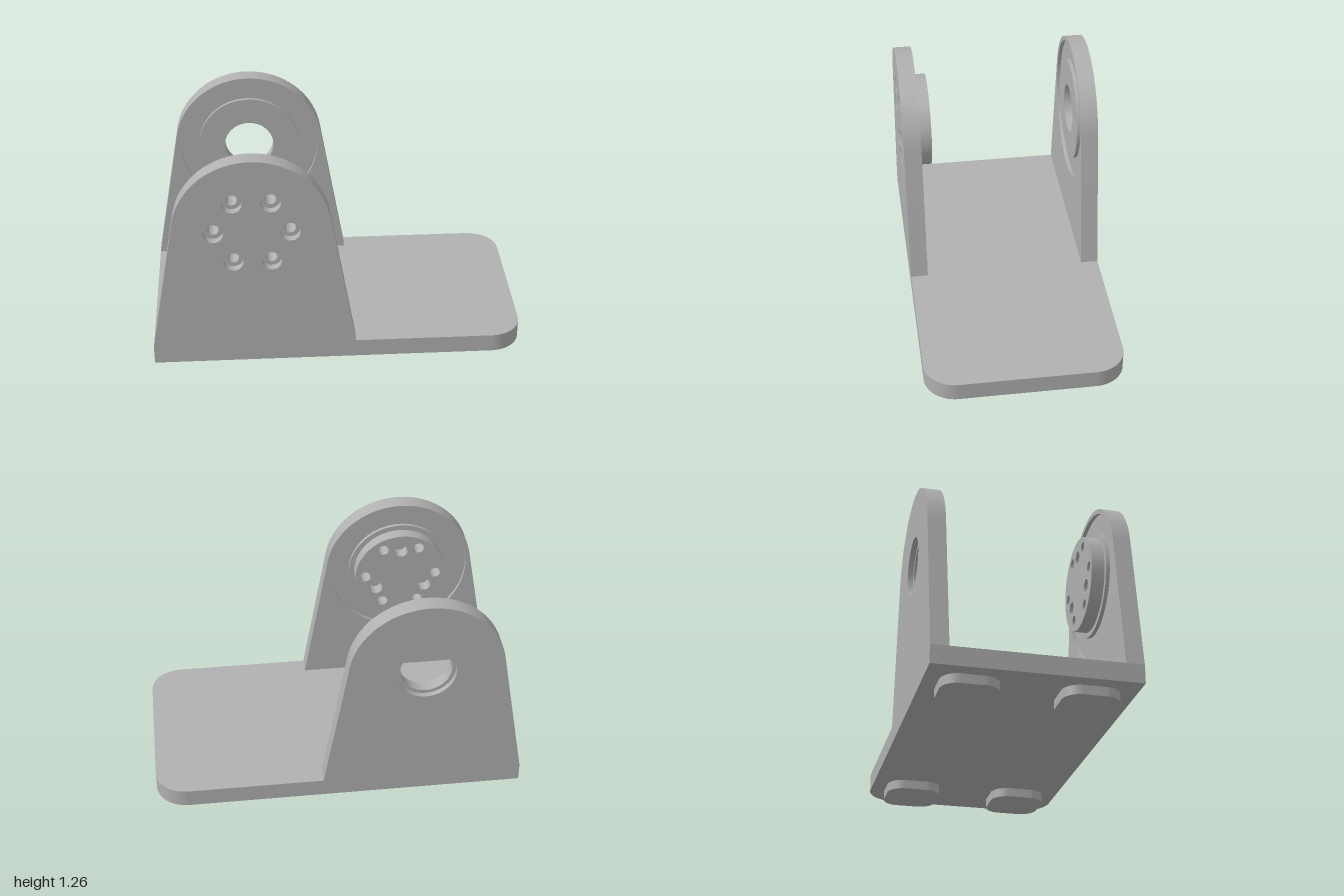
import * as THREE from 'three';
import { toCreasedNormals } from 'three/addons/utils/BufferGeometryUtils.js';

const CX = -0.455, CY = 0.85; // shared axis of both uprights
const DEG = Math.PI / 180;

export function createModel() {
  const model = new THREE.Group();
  model.name = 'bracket';
  const grey = new THREE.MeshStandardMaterial({ color: 0xb0b0b0 });
  grey.name = 'machined grey';

  // Slab between z0 and z1 from an outline and circular holes [x, y, r]
  function slab(name, parent, shape, z0, z1, holes = []) {
    for (const [x, y, r] of holes) {
      shape.holes.push(new THREE.Path().absarc(x, y, r, 0, Math.PI * 2, true));
    }
    const g = new THREE.ExtrudeGeometry(shape, { depth: z1 - z0, bevelEnabled: false, curveSegments: 32 });
    g.translate(0, 0, z0);
    const mesh = new THREE.Mesh(toCreasedNormals(g, 0.5), grey);
    mesh.name = name;
    parent.add(mesh);
    return mesh;
  }

  // Horizontal plate: shape y becomes -z
  function plate(name, shape, y0, y1) {
    slab(name, model, shape, y0, y1).rotation.x = -Math.PI / 2;
  }

  const disc = (r) => new THREE.Shape().absarc(CX, CY, r, 0, Math.PI * 2, false);

  // Tapered upright with tangent round top
  const upright = () => new THREE.Shape()
    .moveTo(-1, 0.15).lineTo(0.09, 0.15)
    .absarc(CX, CY, 0.415, 10 * DEG, 170 * DEG, false)
    .lineTo(-1, 0.15);

  const ring = (n, radius, r, start) => Array.from({ length: n }, (_, i) => {
    const a = start + (i * Math.PI * 2) / n;
    return [CX + radius * Math.cos(a), CY + radius * Math.sin(a), r];
  });

  // Base, rounded at the free end only
  const R = 0.17, W = 0.535;
  plate('base', new THREE.Shape()
    .moveTo(-1, -W).lineTo(1 - R, -W)
    .absarc(1 - R, -W + R, R, -Math.PI / 2, 0, false)
    .absarc(1 - R, W - R, R, 0, Math.PI / 2, false)
    .lineTo(-1, W), 0.05, 0.15);

  // Four rounded feet
  const h = 0.15, fr = 0.09;
  for (const x of [-0.766, 0.766]) {
    for (const z of [-0.305, 0.305]) {
      const s = new THREE.Shape();
      [[1, 1], [-1, 1], [-1, -1], [1, -1]].forEach(([sx, sy], i) => {
        const a = (i * Math.PI) / 2;
        s.absarc(x + sx * (h - fr), z + sy * (h - fr), fr, a, a + Math.PI / 2, false);
      });
      plate('foot', s, 0, 0.05);
    }
  }

  // Front upright: counterbored bolt holes, annular groove, drilled boss
  const front = new THREE.Group();
  front.name = 'frontUpright';
  const bolts = () => ring(6, 0.2, 0.03, 0);
  slab('counterboreLayer', front, upright(), 0.49, 0.535, ring(6, 0.2, 0.053, 0));
  slab('boltLayer', front, upright(), 0.46, 0.49, bolts());
  slab('grooveRim', front, upright(), 0.44, 0.46, [[CX, CY, 0.39]]);
  slab('hub', front, disc(0.285), 0.44, 0.46, bolts());
  slab('boss', front, disc(0.257), 0.37, 0.44, [...bolts(), ...ring(3, 0.16, 0.037, Math.PI / 2)]);

  // Back upright: stepped bore and matching annular groove
  const back = new THREE.Group();
  back.name = 'backUpright';
  slab('boreStepLayer', back, upright(), -0.535, -0.505, [[CX, CY, 0.157]]);
  slab('boreLayer', back, upright(), -0.505, -0.46, [[CX, CY, 0.138]]);
  slab('grooveRim', back, upright(), -0.46, -0.44, [[CX, CY, 0.39]]);
  slab('hub', back, disc(0.285), -0.46, -0.44, [[CX, CY, 0.138]]);

  model.add(front, back);
  return model;
}
